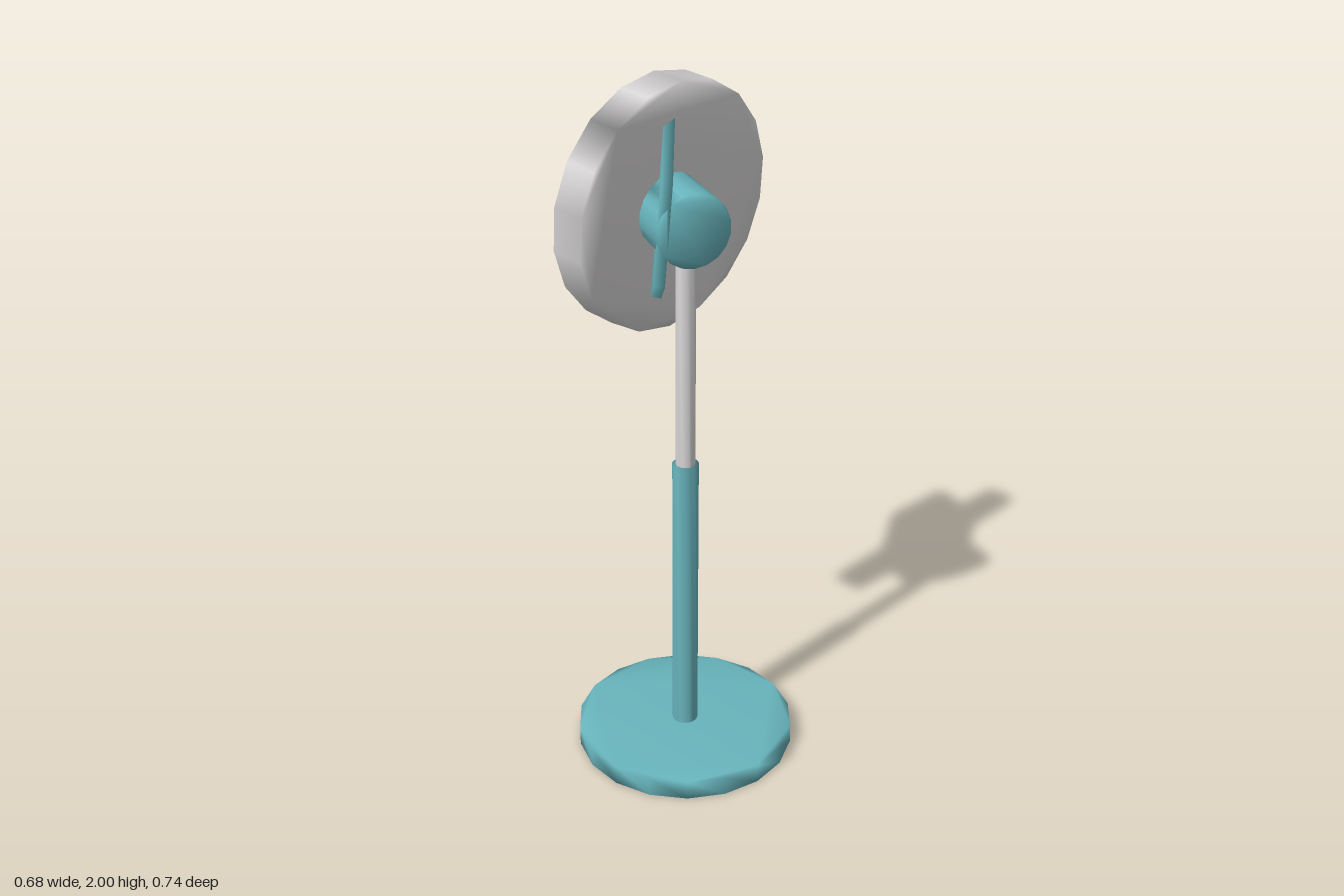
import * as THREE from 'three';
import { mergeVertices } from 'three/addons/utils/BufferGeometryUtils.js';

const teal = new THREE.MeshStandardMaterial({ color: 0x68b4bc });
teal.name = 'teal';
const grey = new THREE.MeshStandardMaterial({ color: 0xd8d6d6 });
grey.name = 'light grey';

// Regular prism along z, centred, with normals smoothed over its edges
function prism(sides, radius, depth) {
  const points = [];
  for (let i = 0; i < sides; i++) {
    const a = Math.PI / 2 + (i / sides) * Math.PI * 2;
    points.push(new THREE.Vector2(radius * Math.cos(a), radius * Math.sin(a)));
  }
  const geometry = new THREE.ExtrudeGeometry(new THREE.Shape(points), {
    depth, bevelEnabled: false, steps: 1,
  });
  geometry.translate(0, 0, -depth / 2);
  geometry.deleteAttribute('normal');
  geometry.deleteAttribute('uv');
  geometry.clearGroups();
  const merged = mergeVertices(geometry, 1e-4);
  merged.computeVertexNormals();
  return merged;
}

export function createModel() {
  const model = new THREE.Group();
  model.name = 'pedestalFan';

  function add(name, geometry, material, x, y, z) {
    const mesh = new THREE.Mesh(geometry, material);
    mesh.name = name;
    mesh.position.set(x, y, z);
    model.add(mesh);
    return mesh;
  }

  // Upright parts of the stand, from bottom to top height
  function upright(name, radius, bottom, top, material) {
    const geometry = prism(18, radius, top - bottom).rotateX(-Math.PI / 2);
    add(name, geometry, material, 0, (bottom + top) / 2, 0.05);
  }
  upright('base', 0.322, 0, 0.058, teal);
  upright('lowerPole', 0.038, 0.05, 0.93, teal);
  upright('upperPole', 0.028, 0.92, 1.6, grey);

  // Motor housing lying along z
  add('motorHousing', prism(18, 0.104, 0.232), teal, 0, 1.645, -0.004);

  // Round cage, turned and tipped slightly forward
  const cage = add('cage', prism(18, 0.355, 0.102), grey, 0, 1.645, -0.13);
  cage.rotation.set(0.065, THREE.MathUtils.degToRad(25), 0, 'YXZ');

  // Hexagonal blade plate passing through the cage
  const blade = add('blade', prism(6, 0.29, 0.03), teal, 0, 1.645, -0.128);
  blade.rotation.set(0.075, THREE.MathUtils.degToRad(70), 0, 'YXZ');

  return model;
}
